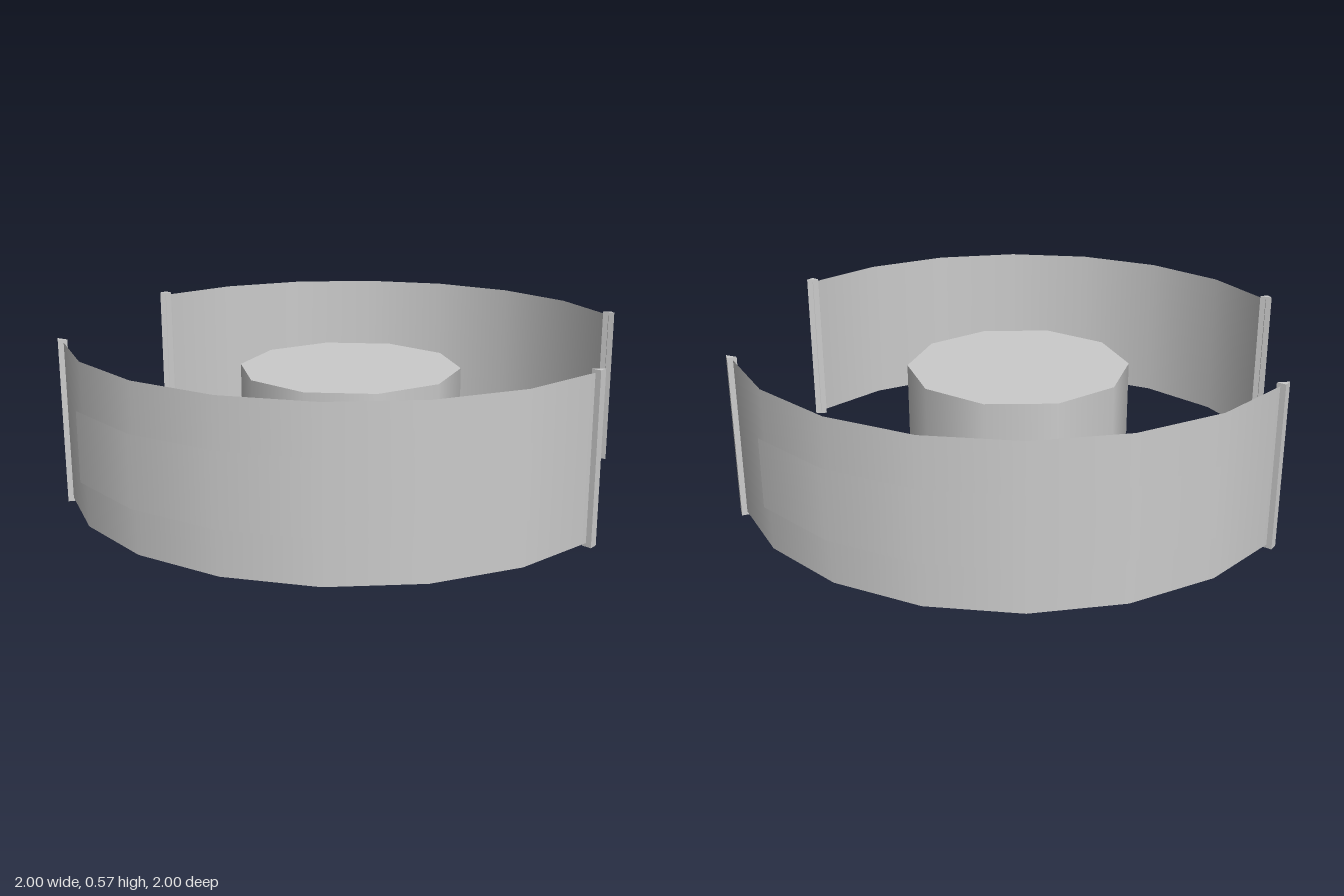
import * as THREE from 'three';

const grey = new THREE.MeshStandardMaterial({ color: 0xcccccc });
const greyThin = new THREE.MeshStandardMaterial({ color: 0xcccccc, side: THREE.DoubleSide });
const rad = THREE.MathUtils.degToRad;

function add(parent, name, geometry, material) {
  const mesh = new THREE.Mesh(geometry, material);
  mesh.name = name;
  parent.add(mesh);
  return mesh;
}

// Thin curved strip: angles in degrees, measured from +z towards +x
function strip(radius, y0, y1, from, to, segments) {
  return new THREE.CylinderGeometry(radius, radius, y1 - y0, segments, 1, true, rad(from), rad(to - from))
    .translate(0, (y0 + y1) / 2, 0);
}

// Slim three-sided post on a wall end; side is +1 or -1, pointing into the gap
function post(angle, side) {
  const a = rad(angle);
  const corners = [[0.016, -0.017], [0.016, 0.013], [-0.015, -0.016]].map(([dr, dt]) => {
    const r = 0.98 + dr, t = dt * side;
    const x = r * Math.sin(a) + t * Math.cos(a);
    const z = r * Math.cos(a) - t * Math.sin(a);
    return new THREE.Vector2(x, -z);
  });
  return new THREE.ExtrudeGeometry(new THREE.Shape(corners), { depth: 0.566, bevelEnabled: false })
    .rotateX(-Math.PI / 2);
}

export function createModel() {
  const model = new THREE.Group();
  model.name = 'drumWithCurvedWalls';

  // Ten-sided central drum
  add(model, 'drum', new THREE.CylinderGeometry(0.39, 0.39, 0.267, 10, 1, false, Math.PI / 2), grey)
    .position.y = 0.284;

  // Two opposite curved walls, each with an outer band and end posts
  for (let i = 0; i < 2; i++) {
    const half = new THREE.Group();
    half.name = i === 0 ? 'frontWall' : 'backWall';
    half.rotation.y = i * Math.PI;
    add(half, 'wall', strip(0.98, 0.012, 0.556, -108, 18, 7), greyThin);
    add(half, 'band', strip(1, 0.165, 0.4, -90, 0, 5), greyThin);
    add(half, 'endPost', post(18, 1), grey);
    add(half, 'endPost', post(-108, -1), grey);
    model.add(half);
  }
  return model;
}
